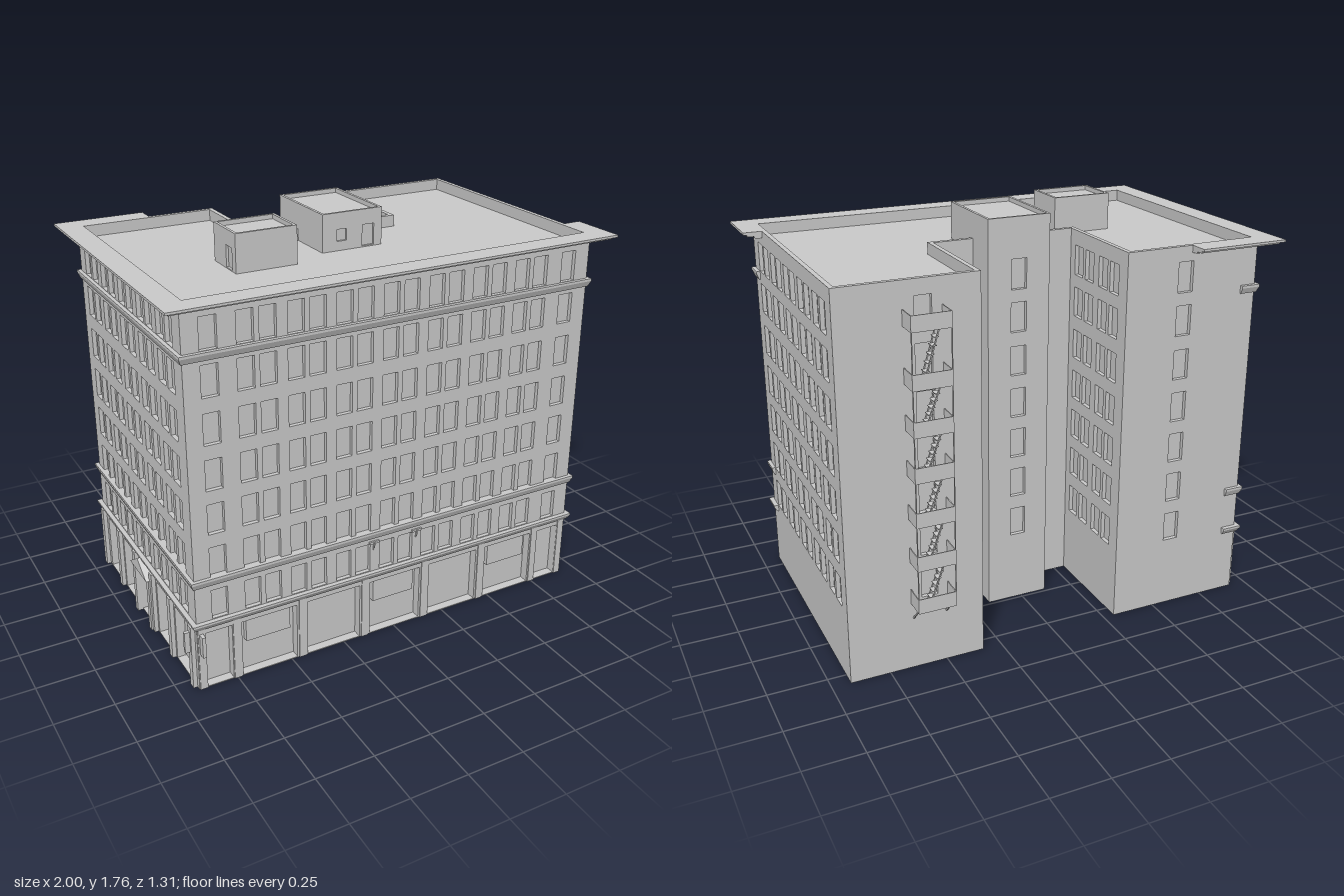
import * as THREE from 'three';
import { mergeGeometries } from 'three/addons/utils/BufferGeometryUtils.js';

const grey = new THREE.MeshStandardMaterial({ color: 0xcccccc, flatShading: true });
const thin = new THREE.MeshStandardMaterial({ color: 0xcccccc, flatShading: true, side: THREE.DoubleSide });
const ROOF = 1.6, TOP = 1.65;
const FLOORS = [0.385, 0.577, 0.765, 0.953, 1.143, 1.335, 1.52];
const W = 0.07, H = 0.13;

function mesh(name, geo, mat = grey) {
  const m = new THREE.Mesh(geo, mat);
  m.name = name;
  return m;
}

function box(x0, x1, y0, y1, z0, z1) {
  return new THREE.BoxGeometry(x1 - x0, y1 - y0, z1 - z0)
    .translate((x0 + x1) / 2, (y0 + y1) / 2, (z0 + z1) / 2);
}

// Square bar between two points
function bar(a, b, t) {
  const p = new THREE.Vector3(...a), q = new THREE.Vector3(...b);
  const g = new THREE.BoxGeometry(t, t, p.distanceTo(q));
  const o = new THREE.Object3D();
  o.position.copy(p).add(q).multiplyScalar(0.5);
  o.lookAt(q);
  o.updateMatrix();
  return g.applyMatrix4(o.matrix);
}

function rectPath(P, x0, x1, y0, y1) {
  const p = new P();
  p.moveTo(x0, y0); p.lineTo(x1, y0); p.lineTo(x1, y1); p.lineTo(x0, y1); p.closePath();
  return p;
}

// Inward-facing box without its front: the reveal and pane of an opening
function niche(u, v, w, h, d) {
  const g = new THREE.BoxGeometry(w, h, d).translate(u, v, -d / 2);
  const idx = Array.from(g.index.array);
  idx.splice(24, 6);
  g.setIndex(idx.reverse());
  const n = g.toNonIndexed();
  n.computeVertexNormals();
  return n;
}

// Upright wall from a to b (x, z) with openings [u, v, w, h, depth], u from the middle
function wall(name, a, b, y0, y1, openings = []) {
  const dx = b[0] - a[0], dz = b[1] - a[1], L = Math.hypot(dx, dz);
  const shape = rectPath(THREE.Shape, -L / 2, L / 2, y0, y1);
  for (const [u, v, w, h] of openings)
    shape.holes.push(rectPath(THREE.Path, u - w / 2, u + w / 2, v - h / 2, v + h / 2));
  const parts = [new THREE.ShapeGeometry(shape).toNonIndexed(), ...openings.map(o => niche(...o))];
  const m = mesh(name, mergeGeometries(parts), thin);
  m.position.set((a[0] + b[0]) / 2, 0, (a[1] + b[1]) / 2);
  m.rotation.y = Math.atan2(-dz, dx);
  return m;
}

// Moulding: profile of [out, y] carried along a mitred path of [x, z]
function moulding(name, path, profile) {
  const normals = path.slice(1).map((q, i) => {
    const dx = q[0] - path[i][0], dz = q[1] - path[i][1], l = Math.hypot(dx, dz);
    return [-dz / l, dx / l];
  });
  const n = profile.length, pos = [], idx = [];
  path.forEach((p, i) => {
    const a = normals[i - 1] || [0, 0], b = normals[i] || [0, 0];
    for (const [o, y] of profile) pos.push(p[0] + o * (a[0] + b[0]), y, p[1] + o * (a[1] + b[1]));
  });
  for (let i = 0; i < path.length - 1; i++)
    for (let j = 0; j < n; j++) {
      const k = (j + 1) % n, A = i * n + j, B = A + n, C = (i + 1) * n + k, D = i * n + k;
      idx.push(A, B, C, A, C, D);
    }
  const end = (path.length - 1) * n;
  for (const [a, b, c] of THREE.ShapeUtils.triangulateShape(profile.map(p => new THREE.Vector2(...p)), []))
    idx.push(a, b, c, end + c, end + b, end + a);
  let g = new THREE.BufferGeometry();
  g.setAttribute('position', new THREE.Float32BufferAttribute(pos, 3));
  g.setIndex(idx);
  g = g.toNonIndexed();
  g.computeVertexNormals();
  return mesh(name, g);
}

// Shape in plan, from [x, z] points
const plan = pts => pts.map(([x, z]) => new THREE.Vector2(x, -z));
const flat = (geo, y) => geo.rotateX(-Math.PI / 2).translate(0, y, 0);

// Rooftop hut with a rim, its walls given as [a, b, bottom, openings]
function hut(name, x0, x1, z0, z1, walls) {
  const g = new THREE.Group();
  g.name = name;
  walls.forEach(([a, b, y0, o]) => g.add(wall(name + 'Wall', a, b, y0, 1.74, o)));
  const rim = rectPath(THREE.Shape, x0, x1, -z1, -z0), t = 0.012;
  rim.holes.push(rectPath(THREE.Path, x0 + t, x1 - t, -z1 + t, -z0 - t));
  g.add(mesh(name + 'Rim', flat(new THREE.ExtrudeGeometry(rim, { depth: 0.02, bevelEnabled: false }), 1.74)));
  g.add(mesh(name + 'Roof', flat(new THREE.ShapeGeometry(rectPath(THREE.Shape, x0, x1, -z1, -z0)), 1.741), thin));
  return g;
}

function fireEscape() {
  const g = new THREE.Group(), x0 = 0.49, x1 = 0.653, z0 = -0.655, z1 = -0.565, t = 0.004;
  g.name = 'fireEscape';
  const decks = [0.303, 0.493, 0.683, 0.872, 1.06, 1.248, 1.475];
  const plat = [], steps = [];
  decks.forEach((y, i) => {
    plat.push(box(x0, 0.53, y, y + t, z0, z1), box(0.57, x1, y, y + t, z0, z1));
    plat.push(box(x0, x1, y, y + 0.065, z0, z0 + t));
    for (const x of [x0, x1 - t]) plat.push(box(x, x + t, y, y + 0.065, z0, z1));
    if (i === decks.length - 1) return;
    const up = decks[i + 1];
    for (const z of [-0.645, -0.61]) steps.push(bar([0.61, y, z], [0.54, up, z], 0.005));
    for (let k = 1; k < 7; k++) {
      const s = k / 7, x = 0.61 - 0.07 * s, h = y + (up - y) * s;
      steps.push(box(x - 0.01, x + 0.01, h, h + 0.003, -0.645, -0.61));
    }
  });
  g.add(mesh('platforms', mergeGeometries(plat)), mesh('ladders', mergeGeometries(steps)));
  const posts = [x0, x1 - t].map(x => box(x, x + t, 0.303, 1.54, z0, z0 + t));
  const braces = [x0 + 0.01, x1 - 0.01].map(x => bar([x, 0.303, -0.63], [x, 0.235, z1], 0.006));
  g.add(mesh('postsAndBraces', mergeGeometries([...posts, ...braces])));
  return g;
}

export function createModel() {
  const model = new THREE.Group();
  model.name = 'cornerBuilding';
  const add = (...m) => model.add(...m);

  // Window grids
  const grid = us => us.flatMap(u => FLOORS.map(v => [u, v, W, H, 0.018]));
  const pairs = cs => cs.flatMap(c => [c - 0.046, c + 0.046]);
  const sidePairs = [-0.41, -0.203, 0.005, 0.213, 0.42];
  const frontBays = [-0.6, -0.3, 0, 0.3, 0.6];
  const frontShops = [...frontBays.map(u => [u, 0.132, 0.25, 0.256, 0.04]),
    ...[-0.825, 0.825].map(u => [u, 0.132, 0.115, 0.256, 0.04])];
  const sideShops = [-0.415, -0.208, 0, 0.208, 0.415].map(u => [u, 0.132, 0.165, 0.256, 0.04]);

  // Outer and courtyard walls
  const F = 0.577, B = -0.563, R = 0.92, C0 = -0.3, C1 = 0.335, CZ = -0.085;
  add(
    wall('frontWall', [-R, F], [R, F], 0, ROOF, [...frontShops,
      ...grid([-0.815, ...pairs([-3, -2, -1, 0, 1, 2, 3].map(i => i * 0.208)), 0.815])]),
    wall('leftWall', [R, F], [R, B], 0, ROOF, grid(pairs(sidePairs))),
    wall('leftWingBack', [R, B], [C1, B], 0, ROOF, grid([0.058])),
    wall('leftCourtWall', [C1, B], [C1, CZ], 0, ROOF, grid(pairs([-0.09, 0.117]))),
    wall('courtBackLeft', [C1, CZ], [0.16, CZ], 0, ROOF),
    wall('courtBackRight', [-0.12, CZ], [C0, CZ], 0, ROOF),
    wall('rightCourtWall', [C0, CZ], [C0, B], 0, ROOF, grid(pairs([-0.117, 0.09]))),
    wall('rightWingBack', [C0, B], [-R, B], 0, ROOF, grid([-0.035])),
    wall('rightWall', [-R, B], [-R, F], 0, ROOF, [...sideShops, ...grid(pairs(sidePairs.map(u => -u)))]));

  // Roof deck and parapet
  const uShape = (i) => plan([[-R + i, F - i], [R - i, F - i], [R - i, B + i], [C1 + i, B + i],
    [C1 + i, CZ + i], [C0 - i, CZ + i], [C0 - i, B + i], [-R + i, B + i]]);
  const parapet = new THREE.Shape(uShape(0));
  parapet.holes.push(new THREE.Path(uShape(0.02)));
  add(mesh('parapet', flat(new THREE.ExtrudeGeometry(parapet, { depth: TOP - ROOF, bevelEnabled: false }), ROOF)));
  add(mesh('roofDeck', flat(new THREE.ShapeGeometry(new THREE.Shape(uShape(0))), ROOF), thin));

  // Stair tower rising out of the courtyard, and a smaller rooftop hut
  add(hut('stairTower', -0.12, 0.16, -0.235, 0.15, [
    [[-0.12, 0.15], [0.16, 0.15], ROOF, [[0.075, 1.65, 0.055, 0.09, 0.01], [-0.05, 1.665, 0.045, 0.05, 0.01]]],
    [[0.16, 0.15], [0.16, CZ], ROOF], [[0.16, CZ], [0.16, -0.235], 0],
    [[0.16, -0.235], [-0.12, -0.235], 0, grid([0])],
    [[-0.12, -0.235], [-0.12, CZ], 0], [[-0.12, CZ], [-0.12, 0.15], ROOF]]));
  add(hut('roofHut', -0.545, -0.278, 0.03, 0.235, [
    [[-0.545, 0.235], [-0.278, 0.235], ROOF], [[-0.278, 0.235], [-0.278, 0.03], ROOF],
    [[-0.278, 0.03], [-0.545, 0.03], ROOF],
    [[-0.545, 0.03], [-0.545, 0.235], ROOF, [[0.04, 1.65, 0.055, 0.09, 0.01]]]]));

  // Cornice and string courses wrapping the two street sides
  const run = (back, side) => [[back, B], [-R, B], [-R, F], [R, F], [R, side]];
  add(moulding('cornice', run(-0.6, 0.41), [[0, 1.62], [0.03, 1.622], [0.035, 1.63], [0.062, 1.63],
    [0.065, 1.638], [0.08, 1.64], [0.08, TOP], [0, TOP]]));
  for (const [y, h, o] of [[1.418, 0.035, 0.016], [0.477, 0.035, 0.016], [0.286, 0.03, 0.02]])
    add(moulding('stringCourse', run(-0.85, 0.5),
      [[0, y], [o * 0.4, y], [o, y + h * 0.7], [o, y + h], [0, y + h]]));

  // Shopfront pilasters and door panels
  const piers = [], panels = [];
  for (const x of [-0.9, -0.748, -0.45, -0.15, 0.15, 0.45, 0.748, 0.9])
    piers.push(box(x - 0.016, x + 0.016, 0, 0.29, F, F + 0.004));
  for (const z of [-0.53, -0.312, -0.104, 0.104, 0.312, 0.54])
    piers.push(box(-R - 0.018, -R, 0, 0.29, z - 0.016, z + 0.016));
  for (const x of [-0.6, 0, 0.6]) panels.push(box(x - 0.1, x + 0.1, 0.15, 0.25, F - 0.04, F - 0.015));
  add(mesh('pilasters', mergeGeometries(piers)), mesh('doorPanels', mergeGeometries(panels)));

  // Side entrance with a gabled hood
  const gable = new THREE.Shape(plan([[-0.1, -0.25], [0.1, -0.25], [0, -0.315]]));
  const hood = new THREE.ExtrudeGeometry(gable, { depth: 0.035, bevelEnabled: false })
    .rotateY(-Math.PI / 2).translate(-R, 0, 0);
  add(mesh('entranceHood', hood));
  for (const z of [-0.085, 0.085])
    add(mesh('entrancePost', box(-R - 0.025, -R, 0, 0.25, z - 0.014, z + 0.014)));

  // Wall lanterns at the street corner and flag brackets over the front door
  add(mesh('sideLantern', box(-0.96, -R, 0.17, 0.265, 0.53, 0.545)),
    mesh('frontLantern', box(-0.91, -0.895, 0.17, 0.265, F, F + 0.033)));
  for (const x of [-0.11, 0.1]) {
    add(mesh('flagBracket', bar([x, 0.42, F], [x, 0.46, F + 0.008], 0.006)));
    add(mesh('bracketArm', box(x - 0.024, x + 0.024, 0.452, 0.462, F, F + 0.008)));
  }

  add(fireEscape());
  return model;
}
